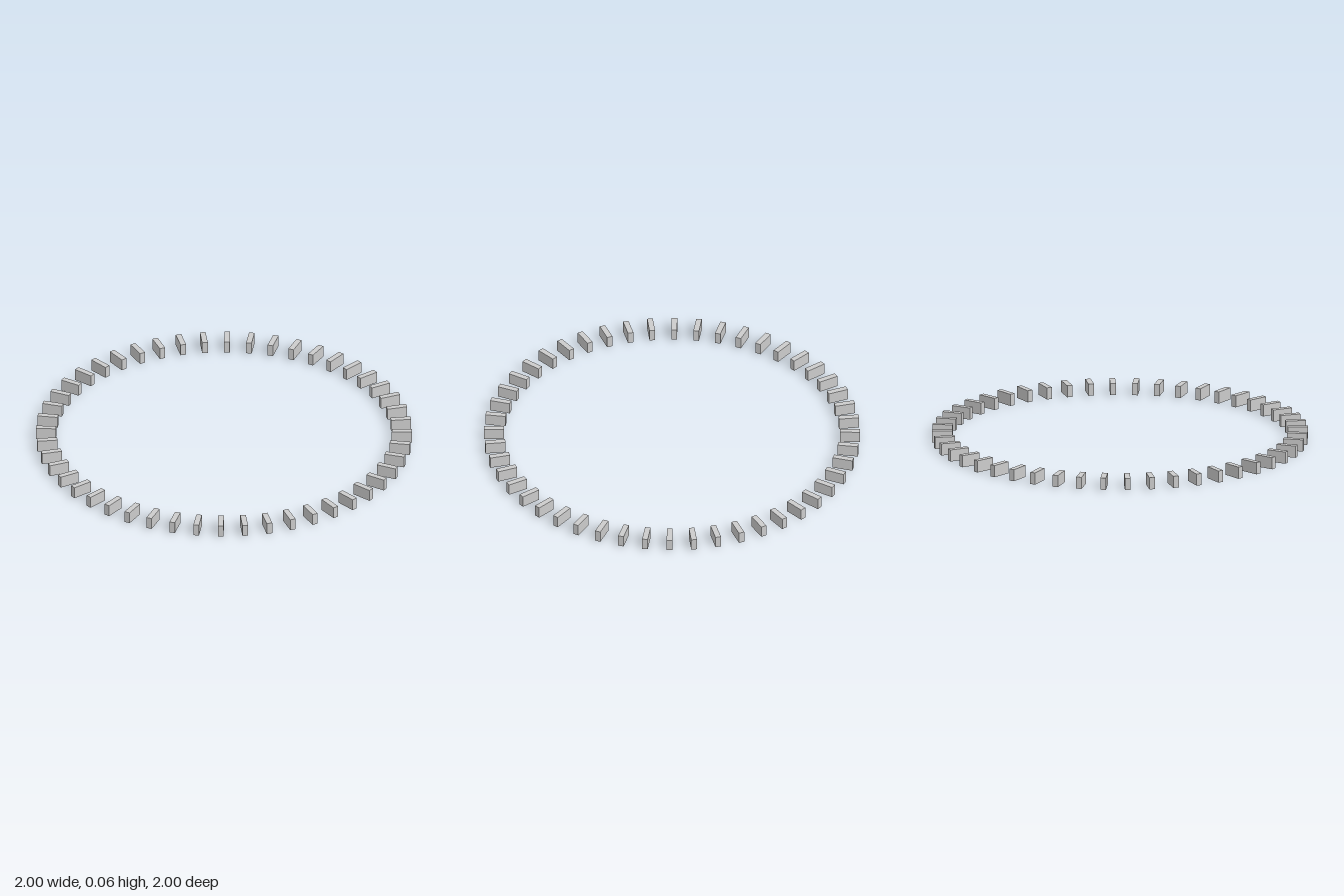
import * as THREE from 'three';

const COUNT = 48;
const OUTER = 1;
const LENGTH = 0.108; // radial
const HEIGHT = 0.064;
const WIDTH = 0.03; // tangential

export function createModel() {
  const model = new THREE.Group();
  model.name = 'blockRing';
  const material = new THREE.MeshStandardMaterial({ color: 0xcccccc, flatShading: true });
  const geometry = new THREE.BoxGeometry(WIDTH, HEIGHT, LENGTH);

  // Upright blocks, evenly spaced and pointing at the centre
  const radius = OUTER - LENGTH / 2;
  for (let i = 0; i < COUNT; i++) {
    const angle = (i / COUNT) * Math.PI * 2;
    const block = new THREE.Mesh(geometry, material);
    block.name = `block${i + 1}`;
    block.position.set(Math.sin(angle) * radius, HEIGHT / 2, Math.cos(angle) * radius);
    block.rotation.y = angle;
    model.add(block);
  }
  return model;
}
